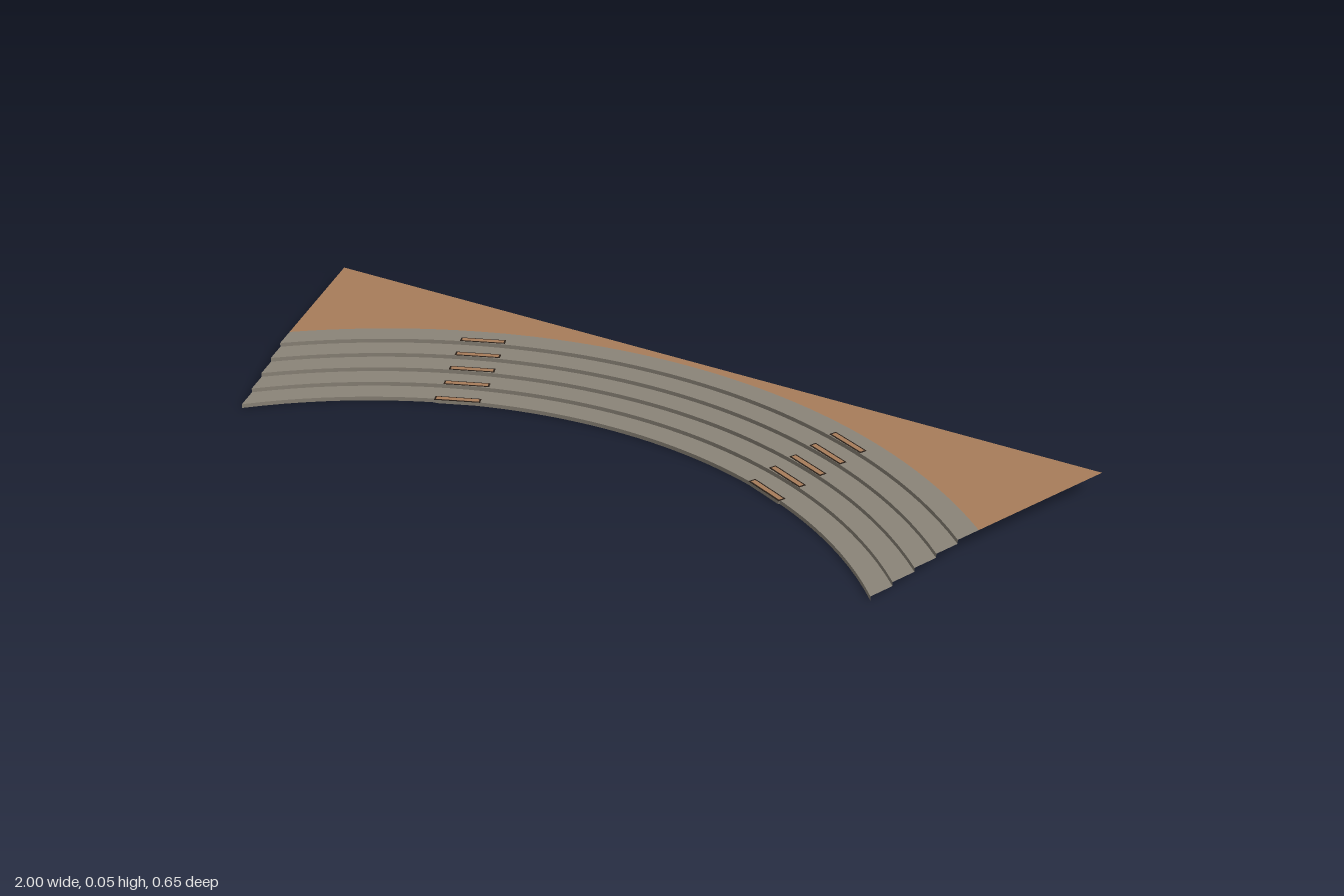
import * as THREE from 'three';

const STEPS = 5, RISE = 0.0094, SEG = 48;
const BACK = -0.327, FRONT = 0.327;

const mat = (name, color) => {
  const m = new THREE.MeshStandardMaterial({ color, side: THREE.DoubleSide });
  m.name = name;
  return m;
};

// Curved step edge k, sampled from the left wall line to the right wall line
function edgeZ(k, x) {
  const apex = -0.019 - 0.057 * k, tipZ = FRONT - 0.0587 * k;
  const tipX = 1 - (x < 0 ? 0.2 : 0.213) * (tipZ - BACK) / (FRONT - BACK);
  const sag = tipZ - apex, r = (tipX * tipX + sag * sag) / (2 * sag);
  return { tipX, z: apex + r - Math.sqrt(r * r - x * x) };
}
function edge(k, y) {
  const pts = [];
  for (let i = 0; i <= SEG; i++) {
    const t = (2 * i) / SEG - 1;
    const x = t * edgeZ(k, t).tipX;
    pts.push([x, y, edgeZ(k, x).z]);
  }
  return pts;
}

// Sheet joining two rows of points
function strip(name, a, b, material) {
  const index = [], n = a.length;
  for (let i = 0; i < n - 1; i++) index.push(i, i + 1, n + i + 1, i, n + i + 1, n + i);
  const g = new THREE.BufferGeometry();
  g.setAttribute('position', new THREE.Float32BufferAttribute([...a, ...b].flat(), 3));
  g.setIndex(index);
  g.computeVertexNormals();
  const mesh = new THREE.Mesh(g, material);
  mesh.name = name;
  return mesh;
}

export function createModel() {
  const group = new THREE.Group();
  group.name = 'curvedSteps';
  const stone = mat('stone', 0x8b8478);
  const earth = mat('brown', 0xa87d5a);
  const dark = mat('dark rim', 0x2a2019);

  // Risers and treads
  for (let k = 0; k < STEPS; k++) {
    const y0 = k * RISE, y1 = y0 + RISE;
    group.add(strip('riser', edge(k, y0), edge(k, y1), stone));
    group.add(strip('tread', edge(k, y1), edge(k + 1, y1), stone));
  }

  // Flat landing behind the top step
  const top = STEPS * RISE;
  const backLine = edge(STEPS, top).map((p, i) => [(2 * i) / SEG - 1, top, BACK]);
  group.add(strip('landing', edge(STEPS, top), backLine, earth));

  // Small inset blocks along both sides of each step
  const xs = [0.4, 0.416, 0.437, 0.457, 0.478];
  const box = (name, w, h, d, y, m) => {
    const mesh = new THREE.Mesh(new THREE.BoxGeometry(w, h, d), m);
    mesh.name = name;
    mesh.position.y = y;
    return mesh;
  };
  for (const s of [-1, 1]) {
    xs.forEach((x, k) => {
      const block = new THREE.Group();
      block.name = 'insetBlock';
      block.add(
        box('blockBody', 0.1, RISE * 0.9, 0.016, RISE * 0.5, stone),
        box('blockRim', 0.106, 0.0008, 0.018, RISE + 0.0002, dark),
        box('blockTop', 0.098, 0.0008, 0.011, RISE + 0.0006, earth)
      );
      block.position.set(s * x, k * RISE, edgeZ(k, s * x).z - (k ? 0.011 : 0.005));
      block.rotation.y = -s * 0.41;
      group.add(block);
    });
  }
  return group;
}
